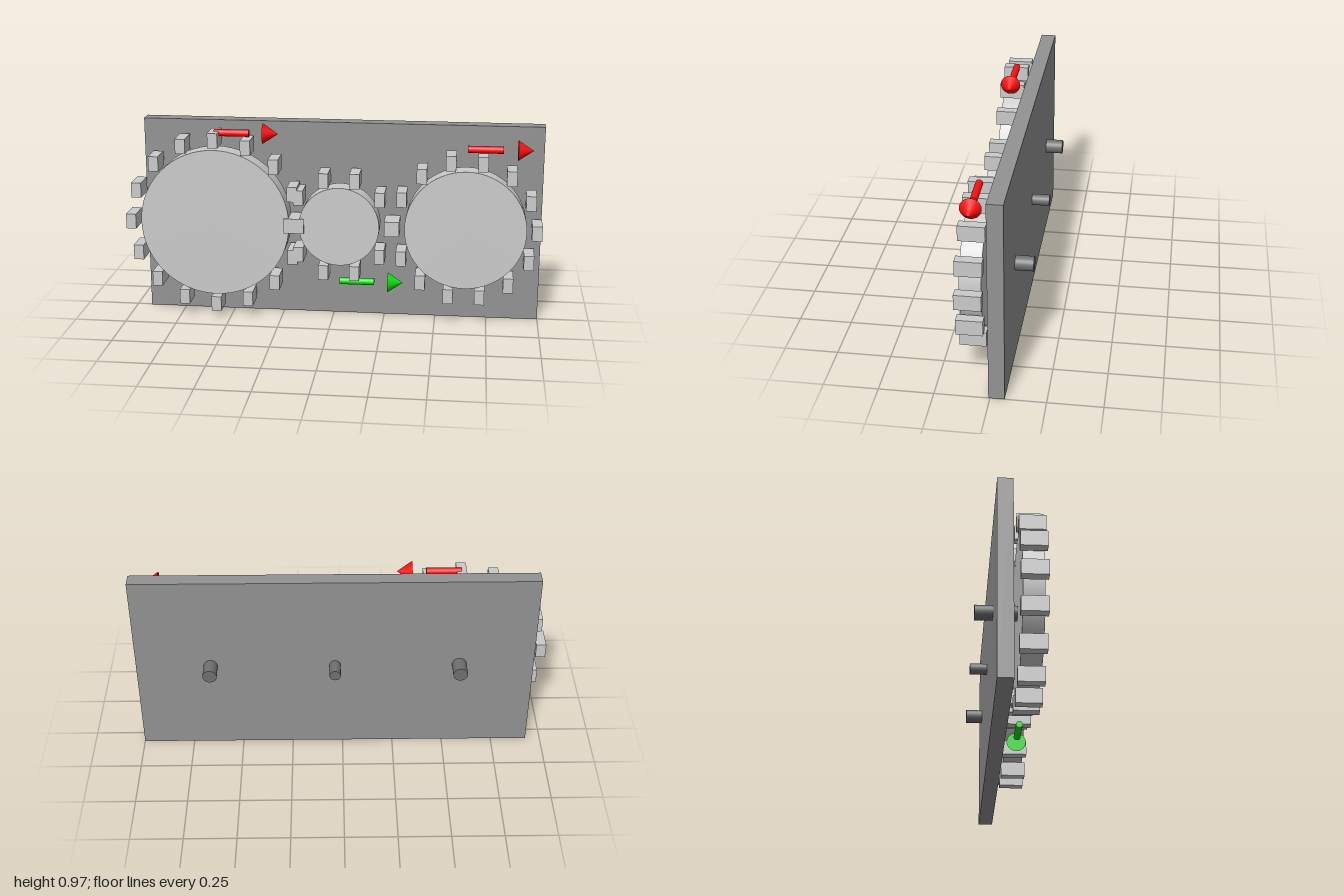
import * as THREE from 'three';

const U = 2 / 83; // design unit: the train is 83 units wide
const AXIS_Y = 20 * U;
const GEAR_Z = 0.0925;

const paint = (color) => new THREE.MeshStandardMaterial({ color });

function part(name, geometry, material, x, y, z) {
  const mesh = new THREE.Mesh(geometry, material);
  mesh.name = name;
  mesh.position.set(x, y, z);
  return mesh;
}

// Disc with a ring of upright block teeth
function makeGear(name, radius, teeth, material) {
  const gear = new THREE.Group();
  gear.name = name;
  const disc = new THREE.CylinderGeometry(radius, radius, 4 * U, 64).rotateX(Math.PI / 2);
  gear.add(part('gearDisc', disc, material, 0, 0, 0));
  const block = new THREE.BoxGeometry(2 * U, 3 * U, 5 * U);
  const ring = radius + 2 * U;
  for (let i = 0; i < teeth; i++) {
    const a = (i / teeth) * Math.PI * 2;
    gear.add(part('tooth', block, material, Math.cos(a) * ring, Math.sin(a) * ring, 0));
  }
  return gear;
}

// Rod and separate cone head, both pointing along +x
function makeArrow(name, material) {
  const arrow = new THREE.Group();
  arrow.name = name;
  const rod = new THREE.CylinderGeometry(0.017, 0.017, 0.168, 24).rotateZ(-Math.PI / 2);
  const head = new THREE.ConeGeometry(2 * U, 3 * U, 32).rotateZ(-Math.PI / 2);
  arrow.add(part('arrowRod', rod, material, 0.084, 0, 0));
  arrow.add(part('arrowHead', head, material, 0.271, 0, 0));
  return arrow;
}

export function createModel() {
  const model = new THREE.Group();
  model.name = 'gearTrain';
  const gearGrey = paint(0xcccccc);
  const plateGrey = paint(0x939393);
  const axleGrey = paint(0x707070);
  const red = paint(0xff1010);
  const green = paint(0x10e010);

  // Backing plate
  const plate = new THREE.BoxGeometry(80 * U, 40 * U, 3 * U);
  model.add(part('backPlate', plate, plateGrey, 1 - 40 * U, AXIS_Y, -0.029));

  // Gears, each with an axle through the plate and a direction arrow
  const train = [
    { name: 'largeGear', x: -1 + 18 * U, r: 15 * U, teeth: 16, axle: 0.035, arrowY: 0.92, color: red },
    { name: 'smallGear', x: -1 + 43 * U, r: 8 * U, teeth: 10, axle: 0.027, arrowY: 0.195, color: green },
    { name: 'mediumGear', x: -1 + 68 * U, r: 12 * U, teeth: 14, axle: 0.034, arrowY: 0.869, color: red },
  ];
  for (const g of train) {
    const gear = makeGear(g.name, g.r, g.teeth, gearGrey);
    gear.position.set(g.x, AXIS_Y, GEAR_Z);
    model.add(gear);

    const axle = new THREE.CylinderGeometry(g.axle, g.axle, 10 * U, 32).rotateX(Math.PI / 2);
    model.add(part('axle', axle, axleGrey, g.x, AXIS_Y, -0.029));

    const arrow = makeArrow('directionArrow', g.color);
    arrow.position.set(g.x, g.arrowY, GEAR_Z);
    model.add(arrow);
  }
  return model;
}
